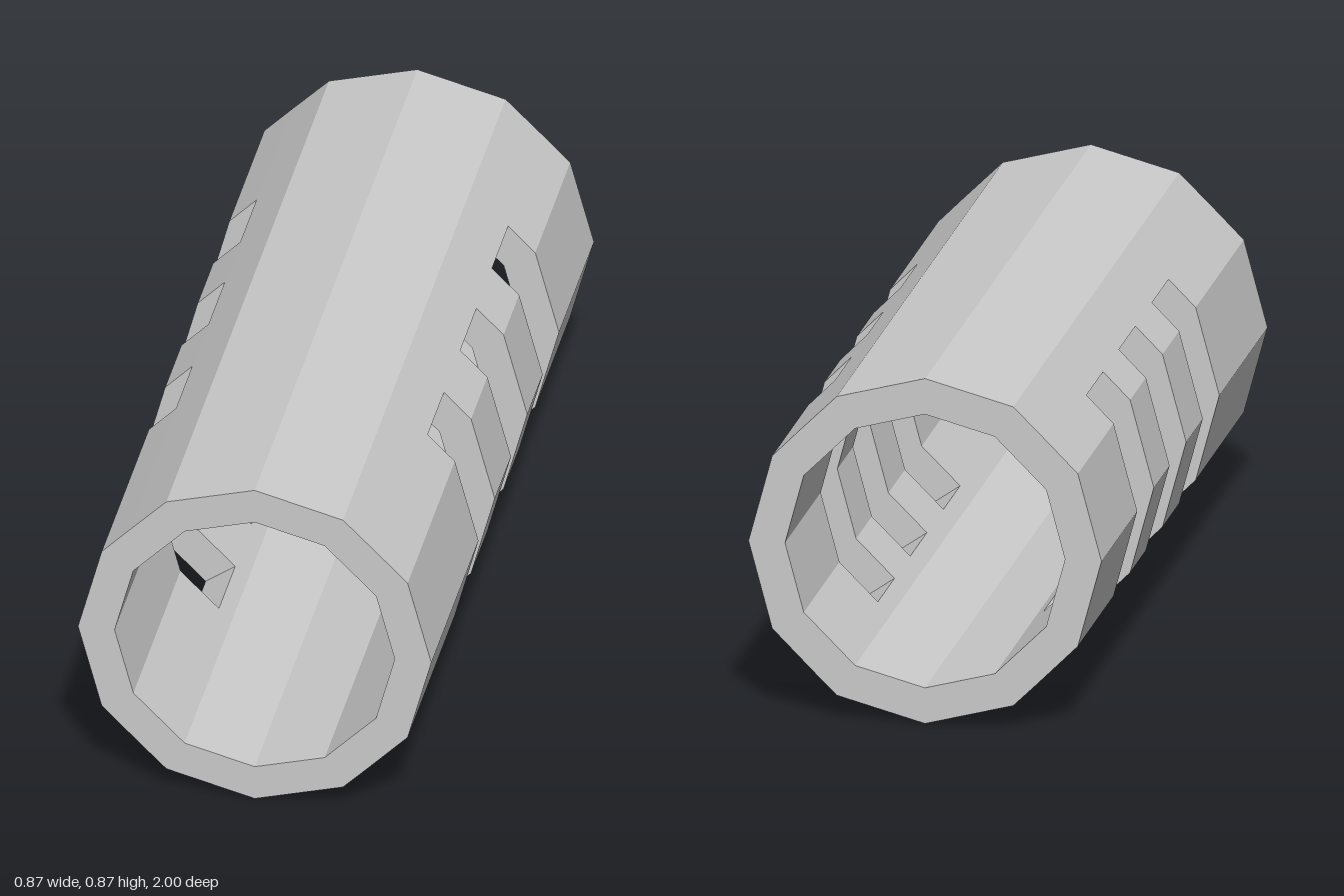
import * as THREE from 'three';

const OUTER = 0.435, INNER = 0.345, CENTRE_Y = 0.435;

// Right half of the ring, bottom to top: [outer point, inner point] pairs
const corner = (deg) => {
  const a = THREE.MathUtils.degToRad(deg);
  return [OUTER, INNER].map((r) => [r * Math.cos(a), r * Math.sin(a)]);
};
const slotFloor = [[0.277, -0.318], [0.204, -0.267]];
const slotCeiling = [[0.31, 0.285], [0.186, 0.285]];
const half = [corner(-90), corner(-60), slotFloor, corner(-30), corner(0),
  corner(30), slotCeiling, corner(60), corner(90)];

// Mirror to close the ring
const mirrored = half.slice(1, -1).reverse().map((pair) => pair.map(([x, y]) => [-x, y]));
const ring = [...half, ...mirrored];
const N = ring.length;

// Band limits along the tube; every second band holds a pair of side slots
const bands = [-1, -0.57, -0.37, -0.18, 0.02, 0.22, 0.42, 1];

function isSolid(i, k) {
  if (k < 0 || k >= bands.length - 1) return false;
  const s = (i + N) % N;
  const inSlot = (s >= 2 && s <= 5) || (s >= 10 && s <= 13);
  return !(k % 2 === 1 && inSlot);
}

function slottedTubeGeometry() {
  const positions = [];
  const quad = (corners, flip) => {
    const [a, b, c, d] = flip ? [...corners].reverse() : corners;
    for (const p of [a, b, c, a, c, d]) positions.push(...p);
  };
  const outer = (i, z) => [...ring[i % N][0], z];
  const inner = (i, z) => [...ring[i % N][1], z];

  for (let k = 0; k < bands.length - 1; k++) {
    const z0 = bands[k], z1 = bands[k + 1];
    for (let i = 0; i < N; i++) {
      const j = i + 1;
      if (isSolid(i, k)) {
        // Outside and inside walls
        quad([outer(i, z0), outer(j, z0), outer(j, z1), outer(i, z1)]);
        quad([inner(i, z0), inner(j, z0), inner(j, z1), inner(i, z1)], true);
        // Tube ends and slot side walls
        for (const [z, next] of [[z0, k - 1], [z1, k + 1]]) {
          if (!isSolid(i, next)) {
            quad([inner(i, z), outer(i, z), outer(j, z), inner(j, z)], next < k);
          }
        }
      }
      // Slot floors and ceilings
      const before = isSolid(i - 1, k), after = isSolid(i, k);
      if (before !== after) {
        quad([inner(i, z0), inner(i, z1), outer(i, z1), outer(i, z0)], after);
      }
    }
  }

  const geometry = new THREE.BufferGeometry();
  geometry.setAttribute('position', new THREE.Float32BufferAttribute(positions, 3));
  geometry.computeVertexNormals();
  return geometry;
}

export function createModel() {
  const group = new THREE.Group();
  group.name = 'slottedSleeve';
  const material = new THREE.MeshStandardMaterial({ color: 0xcccccc, flatShading: true });
  const tube = new THREE.Mesh(slottedTubeGeometry(), material);
  tube.name = 'slottedTube';
  tube.position.y = CENTRE_Y;
  group.add(tube);
  return group;
}
